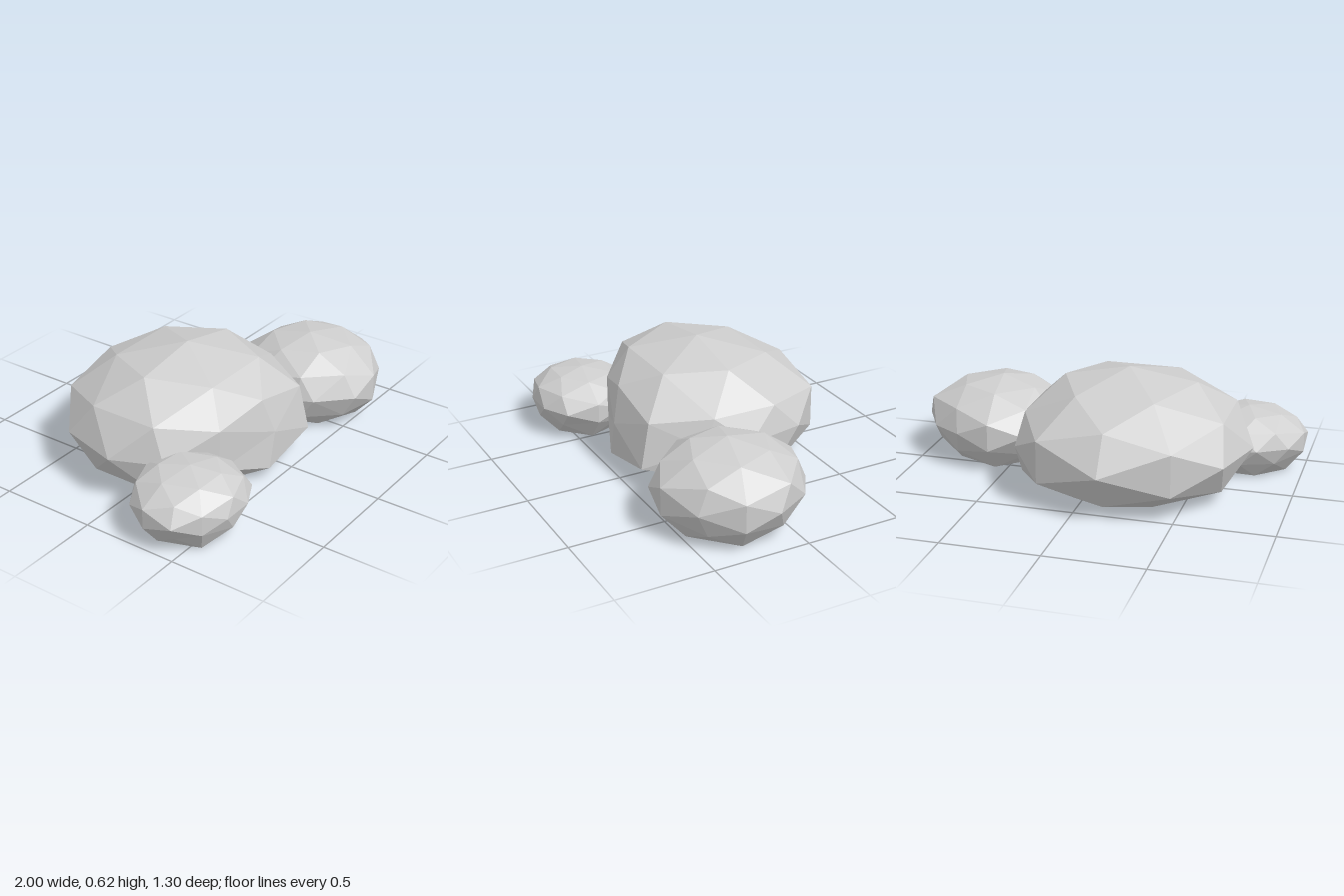
import * as THREE from 'three';
import { mergeVertices } from 'three/addons/utils/BufferGeometryUtils.js';

const stone = new THREE.MeshStandardMaterial({ color: 0xcecece, flatShading: true });
stone.name = 'light grey stone';

// A squashed 80-sided ball with a few chiselled corners, flattened on the ground.
// ring: corners [x, z] at the widest height; pairs: corners [x, z] repeated
// just above and below the ring; peaks: single corners [x, y, z];
// foot: how far the flat underside is spread.
function makeRock(name, center, radii, turn, { ring, pairs, peaks, foot }) {
  const ball = new THREE.IcosahedronGeometry(1, 1);
  ball.deleteAttribute('normal');
  ball.deleteAttribute('uv');
  const geo = mergeVertices(ball, 1e-3);
  geo.scale(...radii).rotateY(turn).translate(...center);

  const [midX, midY, midZ] = center;
  const step = 0.309 * radii[1];
  const corners = [
    ...ring.map(([x, z]) => new THREE.Vector3(x, midY, z)),
    ...pairs.flatMap(([x, z]) => [step, -step].map((d) => new THREE.Vector3(x, midY + d, z))),
    ...peaks.map((p) => new THREE.Vector3(...p)),
  ];

  // Move the nearest corner of the ball to each chiselled point
  const pos = geo.attributes.position;
  const base = Array.from({ length: pos.count }, (_, i) => new THREE.Vector3().fromBufferAttribute(pos, i));
  for (const corner of corners) {
    let nearest = 0;
    base.forEach((p, i) => {
      if (p.distanceTo(corner) < base[nearest].distanceTo(corner)) nearest = i;
    });
    pos.setXYZ(nearest, corner.x, corner.y, corner.z);
  }

  // Flat underside
  base.forEach((p, i) => {
    if (p.y < 0.035) pos.setXYZ(i, midX + (p.x - midX) * foot, 0, midZ + (p.z - midZ) * foot);
  });

  const flat = geo.toNonIndexed();
  flat.computeVertexNormals();
  const mesh = new THREE.Mesh(flat, stone);
  mesh.name = name;
  return mesh;
}

export function createModel() {
  const group = new THREE.Group();
  group.name = 'rockCluster';

  group.add(makeRock('largeRock', [-0.16, 0.25, -0.03], [0.64, 0.355, 0.59], 0, {
    ring: [[0.41, -0.03], [-0.8, -0.03], [-0.16, -0.65], [-0.115, 0.47],
      [0.35, -0.34], [0.35, 0.2], [-0.69, 0.22], [-0.71, -0.35]],
    pairs: [[0.18, -0.52], [-0.49, -0.52], [-0.43, 0.36]],
    peaks: [[-0.16, 0.62, -0.03], [-0.51, 0.567, -0.03], [-0.16, 0.43, 0.42],
      [0.34, 0.39, 0.14], [0.34, 0.39, -0.2], [0.18, 0.36, 0.42], [0.195, 0.13, 0.47]],
    foot: 1,
  }));

  group.add(makeRock('mediumRock', [0.62, 0.2, 0.215], [0.375, 0.235, 0.375], 0.75, {
    ring: [[1, 0.153], [0.74, -0.136], [0.48, 0.575], [0.285, 0.34],
      [0.895, -0.04], [0.32, 0.42], [0.85, 0.505], [0.39, -0.1]],
    pairs: [[0.975, 0.324], [0.64, 0.59], [0.565, -0.16], [0.28, 0.08]],
    peaks: [[0.6, 0.435, 0.215], [0.955, 0.315, 0.08]],
    foot: 1.2,
  }));

  group.add(makeRock('smallRock', [-0.705, 0.165, 0.385], [0.29, 0.165, 0.295], -1.22, {
    ring: [[-0.467, 0.575], [-0.773, 0.65], [-0.94, 0.21],
      [-0.61, 0.65], [-1, 0.495], [-0.79, 0.12]],
    pairs: [[-0.414, 0.42], [-0.89, 0.59], [-1, 0.335]],
    peaks: [[-0.7, 0.325, 0.385]],
    foot: 1.2,
  }));

  return group;
}
